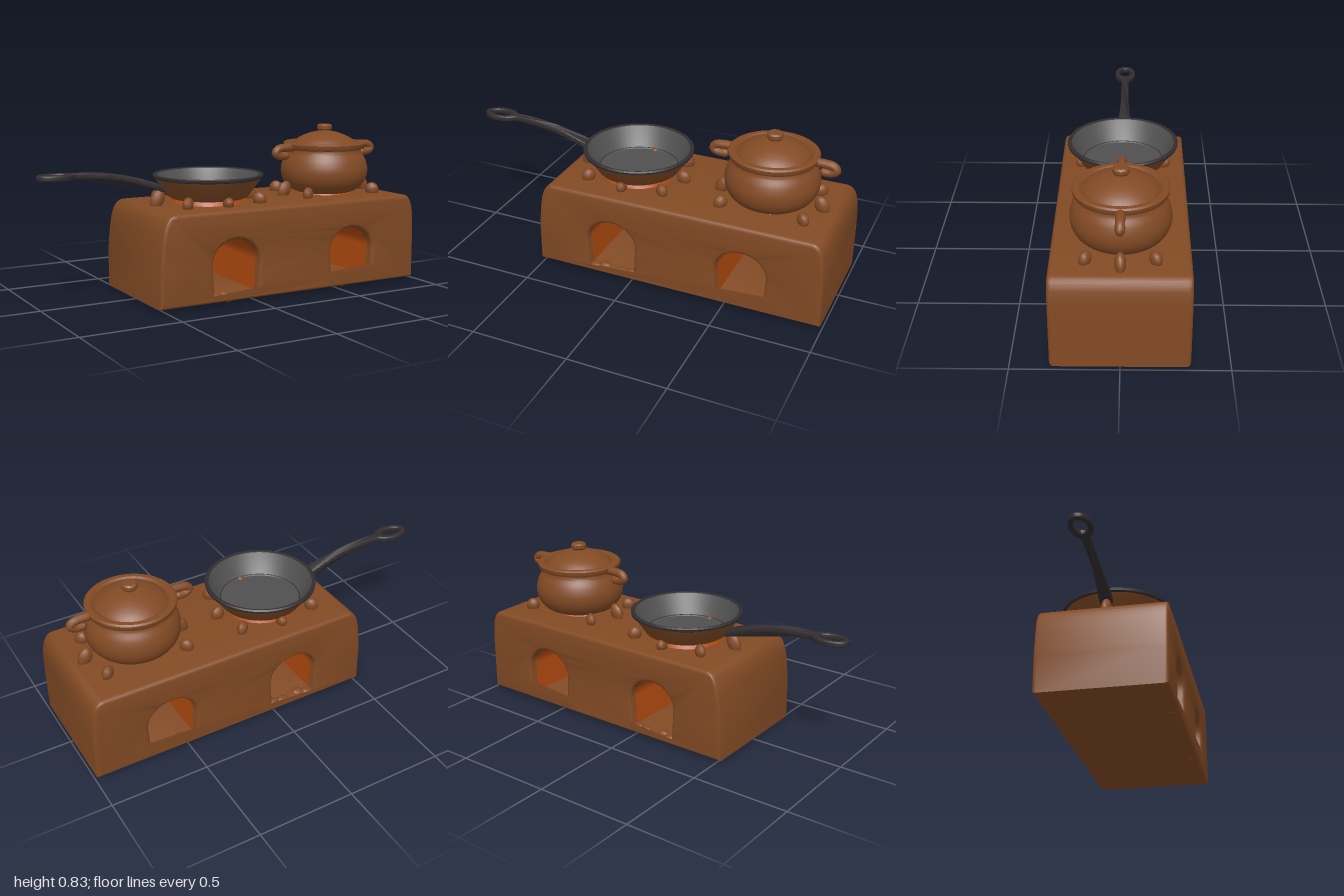
import * as THREE from 'three';
import { toCreasedNormals } from 'three/addons/utils/BufferGeometryUtils.js';
import { ParametricGeometry } from 'three/addons/geometries/ParametricGeometry.js';

const makeMaterial = (name, color) => {
  const m = new THREE.MeshStandardMaterial({ color, side: THREE.DoubleSide });
  m.name = name;
  return m;
};
const V2 = (pts) => pts.map(([x, y]) => new THREE.Vector2(x, y));
const V3 = (pts) => pts.map(([x, y, z]) => new THREE.Vector3(x, y, z));

export function createModel() {
  const clay = makeMaterial('clay', 0x824a24);
  const ember = makeMaterial('ember', 0xb04a10);
  const iron = makeMaterial('iron', 0x332d30);
  const steel = makeMaterial('steel', 0x505050);

  const model = new THREE.Group();
  model.name = 'clayStove';
  const add = (parent, name, geometry, material, x = 0, y = 0, z = 0) => {
    const mesh = new THREE.Mesh(geometry, material);
    mesh.name = name;
    mesh.position.set(x, y, z);
    parent.add(mesh);
    return mesh;
  };
  const lathe = (pts, n = 48) => toCreasedNormals(new THREE.LatheGeometry(V2(pts), n), 0.6);

  const PAN_X = -0.095, POT_X = 0.62, TOP = 0.46;
  const ARCHES = [-0.107, 0.58];

  // Point on a tunnel outline: straight legs and a rounded crown
  const archPoint = (t, cx, half, floor, crown) => {
    const spring = 0.2;
    const floorHalf = half * 0.93;
    if (t < 0.2) return [cx + THREE.MathUtils.lerp(floorHalf, half, t / 0.2), THREE.MathUtils.lerp(floor, spring, t / 0.2)];
    if (t > 0.8) return [cx - THREE.MathUtils.lerp(half, floorHalf, (t - 0.8) / 0.2), THREE.MathUtils.lerp(spring, floor, (t - 0.8) / 0.2)];
    const a = ((t - 0.2) / 0.6) * Math.PI;
    return [cx + half * Math.cos(a), spring + (crown - spring) * Math.sin(a)];
  };

  // Stove block with two tunnels running front to back
  const outline = new THREE.Shape();
  outline.moveTo(-0.5, 0.03);
  outline.lineTo(0.97, 0.03);
  outline.lineTo(0.97, 0.25);
  outline.bezierCurveTo(0.968, 0.35, 0.965, 0.44, 0.92, 0.44);
  outline.lineTo(-0.43, 0.44);
  outline.bezierCurveTo(-0.48, 0.44, -0.49, 0.34, -0.5, 0.2);
  outline.closePath();
  for (const cx of ARCHES) {
    const pts = [];
    for (let i = 0; i <= 30; i++) pts.push(archPoint(i / 30, cx, 0.15, 0.025, 0.335));
    outline.holes.push(new THREE.Path(V2(pts)));
  }
  const block = new THREE.ExtrudeGeometry(outline, {
    depth: 0.6, bevelEnabled: true, bevelSize: 0.02, bevelThickness: 0.02, bevelSegments: 4, curveSegments: 12,
  });
  block.translate(0, 0, -0.3);
  add(model, 'stoveBlock', toCreasedNormals(block, 0.6), clay);

  // Glowing tunnel linings and crumbled clay on the sills
  ARCHES.forEach((cx) => {
    const lining = new ParametricGeometry((u, v, target) => {
      const [x, y] = archPoint(u, cx, 0.127, 0.046, 0.312);
      target.set(x, y, THREE.MathUtils.lerp(-0.28, 0.28, v));
    }, 30, 1);
    add(model, 'tunnelLining', lining, ember);
    for (const side of [1, -1]) {
      for (let i = 0; i < 5; i++) {
        const lump = add(model, 'sillLump', new THREE.SphereGeometry(0.03, 8, 6), clay,
          cx - 0.1 + i * 0.05, 0.037 + 0.006 * Math.sin(i * 2.3), side * (0.285 + 0.01 * Math.cos(i * 2)));
        lump.scale.set(1.1, 0.55, 0.9);
      }
    }
    add(model, 'footLump', new THREE.SphereGeometry(0.03, 8, 6), clay, cx - 0.03, 0.015, 0.275).scale.y = 0.5;
  });

  // Burner rings and the stones leaning inward around them
  const burner = (cx, ringRadius, stones) => {
    const group = new THREE.Group();
    group.name = 'burner';
    group.position.set(cx, TOP, 0);
    model.add(group);
    add(group, 'burnerGlow', new THREE.CylinderGeometry(ringRadius, ringRadius + 0.015, 0.025, 32), ember, 0, 0.011, 0);
    for (const [degrees, radius, height] of stones) {
      const pivot = new THREE.Group();
      pivot.name = 'stone';
      pivot.rotation.y = THREE.MathUtils.degToRad(degrees);
      group.add(pivot);
      const stone = add(pivot, 'supportStone', new THREE.SphereGeometry(1, 12, 8), clay, radius, height * 0.35, 0);
      stone.scale.set(0.036, height * 0.68, 0.026);
      stone.rotation.z = 0.45;
    }
  };
  burner(PAN_X, 0.17, [
    [0, 0.25, 0.06], [180, 0.285, 0.085], [40, 0.265, 0.055], [140, 0.265, 0.055], [-40, 0.265, 0.055], [-140, 0.265, 0.055],
    [90, 0.21, 0.045], [-90, 0.21, 0.045],
  ]);
  burner(POT_X, 0.13, [
    [0, 0.255, 0.075], [180, 0.255, 0.075], [37, 0.26, 0.055], [143, 0.26, 0.055], [-37, 0.26, 0.055], [-143, 0.26, 0.055],
  ]);

  // Frying pan: clay-stained outside, dark rim, grey cooking surface
  const pan = new THREE.Group();
  pan.name = 'fryingPan';
  pan.position.x = PAN_X;
  model.add(pan);
  add(pan, 'panOutside', lathe([[0, 0.483], [0.19, 0.483], [0.21, 0.495], [0.272, 0.585]]), clay);
  add(pan, 'panRim', lathe([[0.27, 0.583], [0.281, 0.588], [0.283, 0.6], [0.276, 0.606], [0.264, 0.603], [0.26, 0.592]]), iron);
  add(pan, 'panInside', lathe([[0.264, 0.602], [0.208, 0.505], [0.197, 0.496], [0, 0.494]]), steel);
  add(pan, 'panFloorEdge', new THREE.TorusGeometry(0.205, 0.003, 6, 48).rotateX(Math.PI / 2), iron, 0, 0.5, 0);

  // Pan handle: flat outline with an eyelet, bent down toward the pan
  const halfWidth = (x) => {
    const eye = x < -0.82 ? 0.057 * Math.sqrt(Math.max(0, 1 - ((x + 0.905) / 0.095) ** 2)) : 0;
    const stem = x > -0.88 ? 0.021 + 0.012 * THREE.MathUtils.smoothstep(x, -0.6, -0.36) : 0;
    return Math.max(eye, stem);
  };
  const upper = [], lower = [];
  for (let i = 0; i <= 60; i++) {
    const x = -1 + 0.65 * (i / 60) ** 1.3;
    upper.unshift([x, halfWidth(x)]);
    if (i > 0) lower.push([x, -halfWidth(x)]);
  }
  const handleShape = new THREE.Shape(V2([...upper, ...lower]));
  const eyelet = new THREE.Path();
  eyelet.absellipse(-0.912, 0, 0.058, 0.031, 0, Math.PI * 2, true);
  handleShape.holes.push(eyelet);
  const handle = new THREE.ExtrudeGeometry(handleShape, {
    depth: 0.014, bevelEnabled: true, bevelSize: 0.006, bevelOffset: -0.006, bevelThickness: 0.007, bevelSegments: 3, curveSegments: 24,
  });
  handle.translate(0, 0, -0.007).rotateX(-Math.PI / 2);
  const p = handle.attributes.position;
  for (let i = 0; i < p.count; i++) {
    const t = Math.max(0, p.getX(i) + 0.8);
    p.setY(i, p.getY(i) * (1 + 0.6 * t) + 0.632 - 0.45 * t * t);
  }
  handle.computeVertexNormals();
  add(model, 'panHandle', toCreasedNormals(handle, 0.7), iron, 0, 0, -0.005);

  // Clay pot with rolled rim, domed lid and knob
  const pot = new THREE.Group();
  pot.name = 'clayPot';
  pot.position.x = POT_X;
  model.add(pot);
  const body = new THREE.SplineCurve(V2([
    [0.13, 0.462], [0.185, 0.485], [0.222, 0.53], [0.234, 0.585], [0.222, 0.64], [0.198, 0.685], [0.2, 0.71],
  ])).getPoints(28).map((v) => [v.x, v.y]);
  add(pot, 'potBody', lathe([[0, 0.462], ...body]), clay);
  add(pot, 'potRim', lathe([
    [0.195, 0.697], [0.213, 0.701], [0.22, 0.712], [0.221, 0.728], [0.213, 0.735], [0.19, 0.735], [0.18, 0.728], [0.17, 0.72],
  ]), clay);
  add(pot, 'potLid', lathe([
    [0.178, 0.722], [0.165, 0.737], [0.14, 0.755], [0.11, 0.77], [0.075, 0.783], [0.035, 0.792], [0, 0.794],
  ]), clay);
  add(pot, 'lidKnob', lathe([
    [0.034, 0.78], [0.034, 0.797], [0.04, 0.804], [0.04, 0.82], [0.032, 0.828], [0, 0.831],
  ], 24), clay);

  // Curled lug handles on both sides of the pot
  const curl = new THREE.CatmullRomCurve3(V3([
    [0.19, 0.712, 0], [0.25, 0.712, 0], [0.295, 0.705, 0], [0.31, 0.685, 0], [0.285, 0.67, 0], [0.25, 0.668, 0],
  ]));
  for (const angle of [0, Math.PI]) {
    const lug = new THREE.Group();
    lug.name = 'potHandle';
    lug.rotation.y = angle;
    pot.add(lug);
    add(lug, 'handleCurl', new THREE.TubeGeometry(curl, 24, 0.022, 12), clay);
    add(lug, 'handleTip', new THREE.SphereGeometry(0.022, 12, 8), clay, 0.25, 0.668, 0);
  }
  return model;
}
